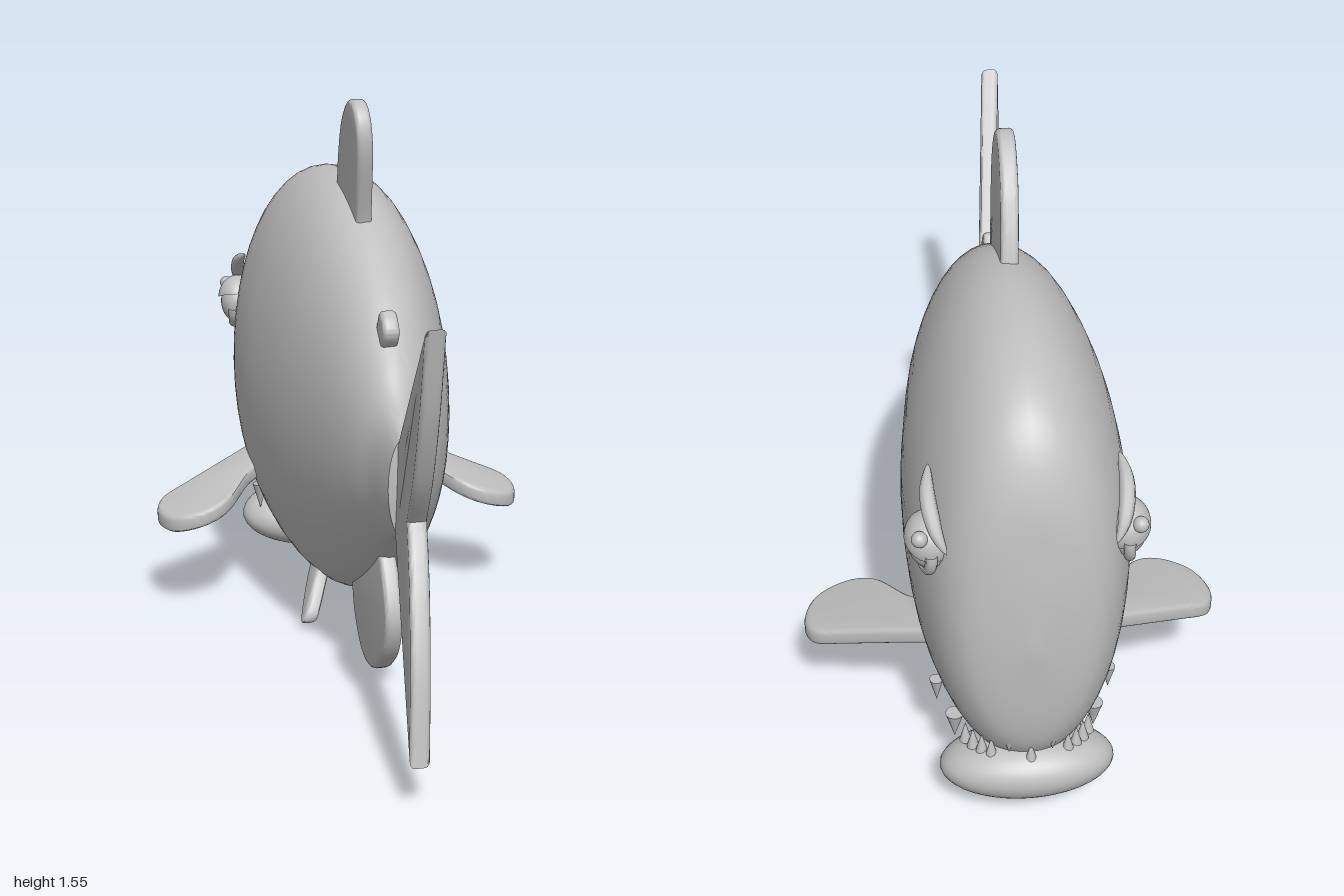
import * as THREE from 'three';
import { toCreasedNormals } from 'three/addons/utils/BufferGeometryUtils.js';

const grey = new THREE.MeshStandardMaterial({ color: 0xbfbfbf });
grey.name = 'plain grey';

function add(parent, name, geometry) {
  const mesh = new THREE.Mesh(geometry, grey);
  mesh.name = name;
  parent.add(mesh);
  return mesh;
}

// Body sections: [z, top, bottom, half width, centre x]; the head is at -z
const SECTIONS = [
  [-0.997, 0.66, 0.58, 0.015, 0], [-0.98, 0.86, 0.37, 0.12, 0], [-0.945, 1.06, 0.25, 0.185, 0],
  [-0.86, 1.21, 0.155, 0.237, 0], [-0.7, 1.29, 0.1, 0.275, 0], [-0.48, 1.318, 0.087, 0.283, 0],
  [-0.28, 1.298, 0.104, 0.265, 0], [-0.1, 1.23, 0.163, 0.237, 0], [0.13, 1.085, 0.29, 0.18, -0.008],
  [0.29, 0.945, 0.405, 0.125, -0.022], [0.4, 0.843, 0.474, 0.078, -0.038],
  [0.53, 0.79, 0.525, 0.042, -0.055],
];

function bodyGeometry() {
  const heights = new THREE.CatmullRomCurve3(SECTIONS.map(s => new THREE.Vector3(s[0], s[1], s[2])), false, 'catmullrom');
  const widths = new THREE.CatmullRomCurve3(SECTIONS.map(s => new THREE.Vector3(s[3], s[4], 0)), false, 'catmullrom');
  const rings = 56, sides = 48, pos = [], idx = [];
  const ring = (z, top, bottom, w, cx) => {
    for (let j = 0; j < sides; j++) {
      const a = j / sides * Math.PI * 2;
      pos.push(cx + w * Math.cos(a), (top + bottom) / 2 + (top - bottom) / 2 * Math.sin(a), z);
    }
  };
  ring(-1, 0.62, 0.62, 0, 0);
  for (let i = 0; i <= rings; i++) {
    const h = heights.getPoint(i / rings), w = widths.getPoint(i / rings);
    ring(h.x, h.y, h.z, w.x, w.y);
  }
  ring(0.545, 0.657, 0.657, 0, -0.055);
  for (let i = 0; i < rings + 2; i++) {
    for (let j = 0; j < sides; j++) {
      const k = (j + 1) % sides;
      const a = i * sides + j, b = i * sides + k, c = a + sides, d = b + sides;
      if (i > 0) idx.push(a, b, c);
      if (i < rings + 1) idx.push(b, d, c);
      else idx.push();
    }
  }
  const g = new THREE.BufferGeometry();
  g.setAttribute('position', new THREE.Float32BufferAttribute(pos, 3));
  // first ring is a pole, so its fan uses the second triangle of each quad
  g.setIndex(idx);
  g.computeVertexNormals();
  return toCreasedNormals(g, 0.9);
}

// Fin: smooth runs of points joined by straight edges, extruded and bent by a rule
function finGeometry(runs, thickness, rule) {
  const outline = [];
  for (const run of runs) {
    const pts = run.map(p => new THREE.Vector2(p[0], p[1]));
    const line = pts.length > 2 ? new THREE.SplineCurve(pts).getPoints(pts.length * 5) : pts;
    for (const p of line) {
      if (!outline.length || outline[outline.length - 1].distanceTo(p) > 1e-4) outline.push(p);
    }
  }
  const bevel = thickness * 0.25;
  const g = new THREE.ExtrudeGeometry(new THREE.Shape(outline), {
    depth: thickness - 2 * bevel, bevelEnabled: true, bevelThickness: bevel,
    bevelSize: bevel, bevelOffset: -bevel, bevelSegments: 3,
  });
  const p = g.attributes.position;
  for (let i = 0; i < p.count; i++) {
    p.setXYZ(i, ...rule(p.getX(i), p.getY(i), p.getZ(i) + bevel - thickness / 2));
  }
  return toCreasedNormals(g, 0.6);
}

// Upright fin drawn in (z, y), with a sideways offset rule
const upright = offset => (z, y, w) => [offset(z, y) - w, y, z];

// Tapered brow following a curve
function browGeometry(s) {
  const curve = new THREE.CatmullRomCurve3([
    [0.23, 1.02, -0.74], [0.238, 0.985, -0.81], [0.225, 0.925, -0.88], [0.202, 0.88, -0.915],
  ].map(([x, y, z]) => new THREE.Vector3(s * x, y, z)));
  const n = 24, sides = 10;
  const g = new THREE.TubeGeometry(curve, n, 0.02, sides);
  const p = g.attributes.position, v = new THREE.Vector3();
  for (let i = 0; i < p.count; i++) {
    const t = Math.floor(i / (sides + 1)) / n;
    const size = Math.pow(Math.max(Math.sin(Math.PI * t), 0), 0.6);
    v.fromBufferAttribute(p, i).sub(curve.getPointAt(t)).multiplyScalar(size).add(curve.getPointAt(t));
    p.setXYZ(i, v.x, v.y, v.z);
  }
  g.computeVertexNormals();
  return g;
}

export function createModel() {
  const fish = new THREE.Group();
  fish.name = 'fish';
  add(fish, 'body', bodyGeometry());

  // Fins on the centre line
  add(fish, 'tailFin', finGeometry([
    [[0.47, 0.74], [0.53, 0.79]],
    [[1, 1.18], [0.95, 0.965], [0.87, 0.78], [0.78, 0.655]],
    [[0.78, 0.655], [0.87, 0.535], [0.95, 0.35], [1, 0.12]],
    [[0.53, 0.525], [0.47, 0.57]],
  ], 0.05, upright((z, y) => -0.05 - 0.15 * (z - 0.53) + 0.03 * (y - 0.65))));
  add(fish, 'dorsalFin', finGeometry([
    [[-0.1, 1.15], [-0.09, 1.23], [-0.035, 1.41], [-0.035, 1.5], [-0.075, 1.55], [-0.14, 1.552], [-0.23, 1.485], [-0.29, 1.39], [-0.33, 1.29], [-0.35, 1.22]],
  ], 0.045, upright((z, y) => -0.008 - 0.05 * (y - 1.2))));
  add(fish, 'smallBackFin', finGeometry([
    [[0.24, 0.93], [0.29, 0.985], [0.288, 1.02], [0.245, 1.052], [0.207, 1.005], [0.19, 0.96]],
  ], 0.045, upright(() => -0.028)));
  add(fish, 'analFin', finGeometry([
    [[0.2, 0.42], [0.26, 0.35], [0.312, 0.25], [0.312, 0.17], [0.26, 0.085], [0.15, 0.014], [0.04, 0.012], [-0.04, 0.07], [-0.085, 0.15], [-0.09, 0.25]],
  ], 0.048, upright(() => -0.025)));

  // Lower lip
  const lip = add(fish, 'lowerLip', new THREE.SphereGeometry(1, 40, 28));
  lip.scale.set(0.225, 0.092, 0.135);
  lip.position.set(0, 0.145, -0.868);
  lip.rotation.x = 0.35;

  // Teeth around the jaw
  const tooth = (name, x, y, z, radius, length, down) => {
    const t = add(fish, name, new THREE.ConeGeometry(radius, length, 12));
    t.position.set(x, y, z);
    if (down) t.rotation.x = Math.PI;
  };
  const onJaw = a => [0.187 * Math.sin(a), -0.755 - 0.195 * Math.cos(a)];
  for (const a of [-1, -0.85, -0.7, -0.55, 0, 0.55, 0.7, 0.85, 1]) {
    const [x, z] = onJaw(a);
    tooth('smallTooth', x, 0.25, z, 0.016, 0.06, false);
  }

  for (const s of [-1, 1]) {
    // Fangs
    for (const a of [0.3, 1.3]) {
      const [x, z] = onJaw(s * a);
      tooth('fang', x, a < 1 ? 0.285 : 0.225, z, 0.024, 0.08, true);
    }
    tooth('cornerFang', s * 0.222, 0.312, -0.765, 0.018, 0.07, true);

    // Side fins, sloping down towards the tip
    add(fish, 'pectoralFin', finGeometry([
      [[0.22, -0.69], [0.28, -0.66]],
      [[0.46, -0.575], [0.53, -0.535], [0.55, -0.46], [0.515, -0.375], [0.43, -0.345], [0.35, -0.38], [0.27, -0.5], [0.2, -0.55]],
    ].map(run => run.map(([x, z]) => [s * x, z])), 0.05,
    (x, z, w) => [x, 0.4 - 0.3 * (Math.abs(x) - 0.28) - 0.12 * (z + 0.66) - w, z]));
    add(fish, 'pelvicFin', finGeometry([
      [[-0.25, 0.2], [-0.235, 0.155], [-0.18, 0.06], [-0.19, 0.028], [-0.225, 0.045], [-0.29, 0.11], [-0.325, 0.16], [-0.34, 0.2]],
    ], 0.042, upright((z, y) => s * (0.1 + 0.42 * (0.165 - y)))));

    // Eye: ball, lids and pupil
    const eye = new THREE.Group();
    eye.name = s > 0 ? 'leftEye' : 'rightEye';
    eye.position.set(s * 0.238, 0.855, -0.83);
    eye.rotation.set(0, s * (Math.PI / 2 + 0.2), 0);
    fish.add(eye);
    add(eye, 'eyeball', new THREE.SphereGeometry(0.064, 28, 20)).scale.z = 0.8;
    const lower = add(eye, 'lowerLid', new THREE.TorusGeometry(0.064, 0.015, 10, 28, Math.PI));
    lower.rotation.z = Math.PI + s * 0.13;
    lower.position.z = 0.012;
    const upper = add(eye, 'upperLid', new THREE.SphereGeometry(0.07, 28, 10, 0, Math.PI * 2, 0, Math.PI / 2));
    upper.scale.z = 0.85;
    upper.rotation.z = -s * 0.35;
    upper.position.y = 0.012;
    const pupil = add(eye, 'pupil', new THREE.SphereGeometry(0.02, 16, 12));
    pupil.position.set(s * 0.045, 0.05, 0.035);
    add(fish, 'brow', browGeometry(s));
  }
  return fish;
}
